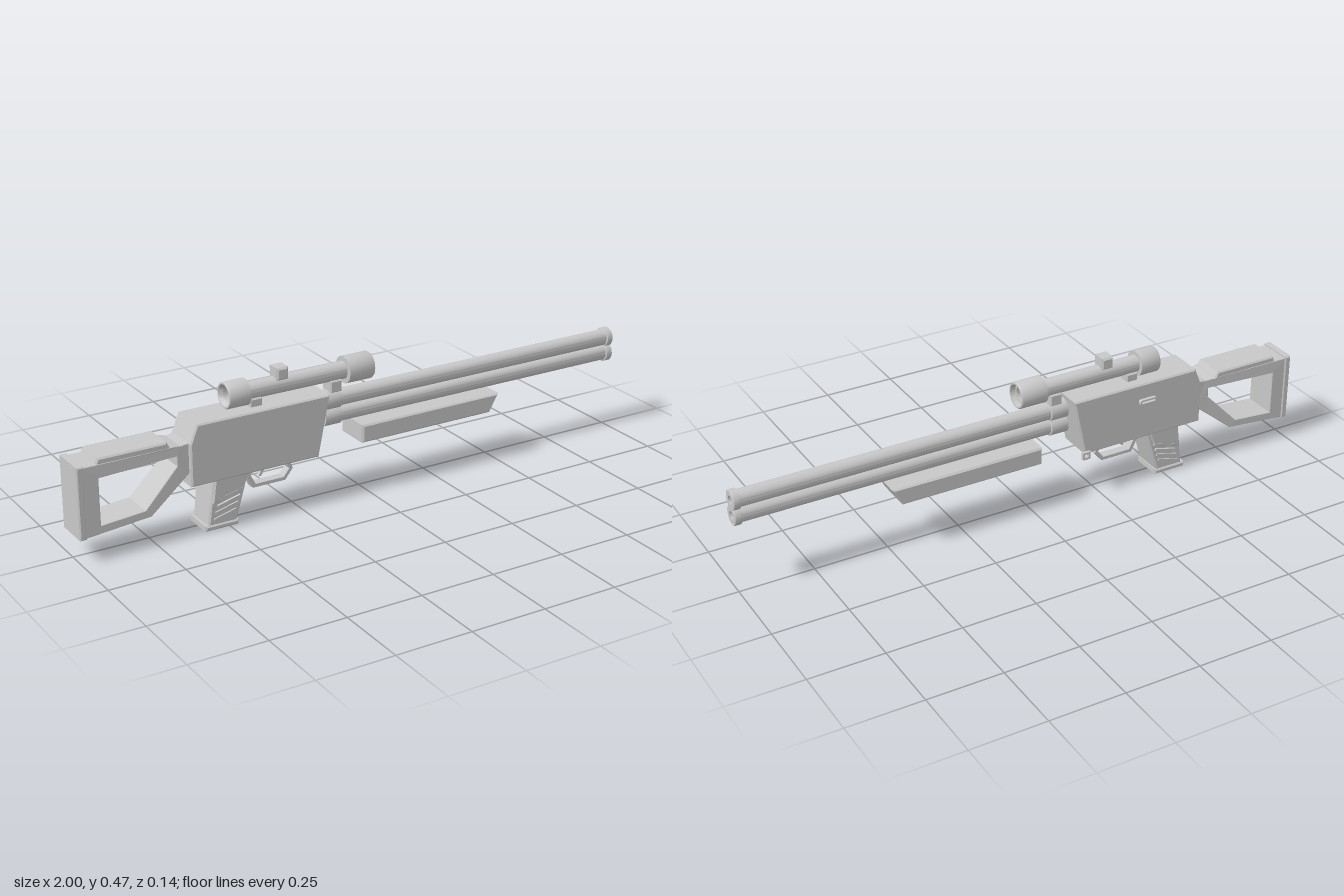
import * as THREE from 'three';
import { toCreasedNormals } from 'three/addons/utils/BufferGeometryUtils.js';

export function createModel() {
  const grey = new THREE.MeshStandardMaterial({ color: 0xc8c8c8 });
  grey.name = 'plain light grey';
  const root = new THREE.Group();
  root.name = 'longToy';
  root.position.z = 0.005;
  const model = new THREE.Group();
  model.add(root);

  const add = (name, geo, x = 0, y = 0, z = 0) => {
    const m = new THREE.Mesh(geo, grey);
    m.name = name;
    m.position.set(x, y, z);
    root.add(m);
    return m;
  };
  const vecs = (pts) => pts.map(([x, y]) => new THREE.Vector2(x, y));

  // Side outline extruded across the width, with chamfered edges
  const slab = (name, pts, half, bevel = 0.006, hole = null, z = 0) => {
    const shape = new THREE.Shape(vecs(pts));
    if (hole) shape.holes.push(new THREE.Path(vecs(hole)));
    const geo = new THREE.ExtrudeGeometry(shape, {
      depth: 2 * (half - bevel), bevelEnabled: true, bevelSize: bevel,
      bevelThickness: bevel, bevelOffset: -bevel, bevelSegments: 1,
    });
    geo.translate(0, 0, -(half - bevel));
    return add(name, geo, 0, 0, z);
  };
  const block = (name, x0, x1, y0, y1, half, bevel = 0.004) =>
    slab(name, [[x0, y0], [x1, y0], [x1, y1], [x0, y1]], half, bevel);

  // Round part along x; profile is [radius, x]
  const turned = (name, profile, y, sides) => {
    const geo = new THREE.LatheGeometry(vecs(profile), sides);
    geo.rotateZ(-Math.PI / 2);
    return add(name, toCreasedNormals(geo, 0.6), 0, y, 0);
  };

  // Receiver
  slab('receiver', [[-0.632, 0.165], [-0.187, 0.165], [-0.145, 0.365],
    [-0.608, 0.365], [-0.632, 0.305]], 0.0645, 0.005);

  // Open stock, narrowing towards the receiver
  const stock = slab('stock', [[-0.982, 0.08], [-0.765, 0.1], [-0.625, 0.213], [-0.625, 0.307],
    [-0.66, 0.303], [-0.69, 0.308], [-0.982, 0.308]], 0.058, 0.002,
  [[-0.93, 0.112], [-0.93, 0.264], [-0.672, 0.273], [-0.672, 0.24], [-0.785, 0.124]]);
  const p = stock.geometry.attributes.position;
  for (let i = 0; i < p.count; i++) {
    const t = THREE.MathUtils.clamp((p.getX(i) + 0.695) / 0.03, 0, 1);
    p.setZ(i, p.getZ(i) * (1 - 0.14 * t));
  }
  stock.geometry.computeVertexNormals();

  // Cheek rest and butt pad
  slab('cheekRest', [[-0.94, 0.3], [-0.69, 0.3], [-0.705, 0.326], [-0.93, 0.326]], 0.056, 0.005);
  block('buttPad', -1, -0.978, 0.078, 0.313, 0.062, 0.004);

  // Grip with wider upper part, ribs and base plate
  slab('grip', [[-0.575, 0.015], [-0.475, 0.015], [-0.428, 0.175], [-0.553, 0.175]], 0.053, 0.006);
  slab('gripUpper', [[-0.564, 0.085], [-0.459, 0.11], [-0.436, 0.175], [-0.553, 0.175]], 0.06, 0.008);
  block('gripBase', -0.585, -0.47, 0, 0.018, 0.055, 0.005);
  for (const side of [-1, 1]) {
    for (let i = 0; i < 4; i++) {
      const rib = add('gripRib', new THREE.BoxGeometry(0.08, 0.007, 0.01),
        -0.518 + i * 0.007, 0.045 + i * 0.022, side * (i < 2 ? 0.053 : 0.056));
      rib.rotation.z = 0.25;
    }
  }

  // Trigger and guard
  slab('triggerGuard', [[-0.405, 0.172], [-0.42, 0.135], [-0.398, 0.09], [-0.282, 0.09],
    [-0.254, 0.125], [-0.272, 0.172]], 0.015, 0.001,
  [[-0.39, 0.165], [-0.405, 0.135], [-0.388, 0.102], [-0.288, 0.102],
    [-0.268, 0.127], [-0.284, 0.165]]);
  slab('trigger', [[-0.365, 0.172], [-0.362, 0.145], [-0.372, 0.122], [-0.364, 0.12],
    [-0.35, 0.145], [-0.346, 0.172]], 0.008, 0.001);

  // Twin barrels with rear collars, flat muzzle rings and deep bores
  for (const y of [0.323, 0.27]) {
    turned('barrel', [[0, -0.142], [0.033, -0.142], [0.033, -0.082], [0.0275, -0.08],
      [0.0275, 0.976], [0.033, 0.978], [0.033, 0.998], [0.031, 1],
      [0.014, 1], [0.014, 0.9], [0.009, 0.89], [0, 0.886]], y, 18);
  }

  // Fore-end below the barrels
  slab('foreEnd', [[-0.027, 0.175], [0.468, 0.175], [0.502, 0.236], [-0.027, 0.236]], 0.0645, 0.006);

  // Hollow scope with cross hairs
  turned('scope', [[0.0285, -0.41], [0.0285, -0.06], [0.0445, -0.06], [0.0445, 0.03],
    [0.0425, 0.033], [0.037, 0.033], [0.035, 0.015], [0.0275, 0.015],
    [0.0275, -0.47], [0.036, -0.483], [0.041, -0.483], [0.043, -0.48],
    [0.043, -0.41], [0.0285, -0.41]], 0.411, 20);
  add('crossHairUpright', new THREE.BoxGeometry(0.002, 0.056, 0.002), -0.04, 0.411);
  add('crossHairLevel', new THREE.BoxGeometry(0.002, 0.002, 0.056), -0.04, 0.411);
  block('scopeKnob', -0.311, -0.27, 0.43, 0.471, 0.026, 0.006);
  block('rearScopeMount', -0.405, -0.365, 0.355, 0.39, 0.027, 0.003);
  block('frontScopeMount', -0.12, -0.08, 0.352, 0.39, 0.027, 0.003);

  // Side slot and strap loop on the right-hand side
  slab('sideSlot', [[-0.452, 0.298], [-0.447, 0.293], [-0.393, 0.293], [-0.388, 0.298],
    [-0.388, 0.307], [-0.393, 0.312], [-0.447, 0.312], [-0.452, 0.307]], 0.006, 0.001,
  [[-0.445, 0.299], [-0.445, 0.306], [-0.395, 0.306], [-0.395, 0.299]], -0.069);
  slab('strapLoop', [[-0.202, 0.15], [-0.174, 0.15], [-0.174, 0.177], [-0.202, 0.177]],
    0.0055, 0.001, [[-0.194, 0.158], [-0.194, 0.169], [-0.182, 0.169], [-0.182, 0.158]], -0.0685);

  return model;
}
